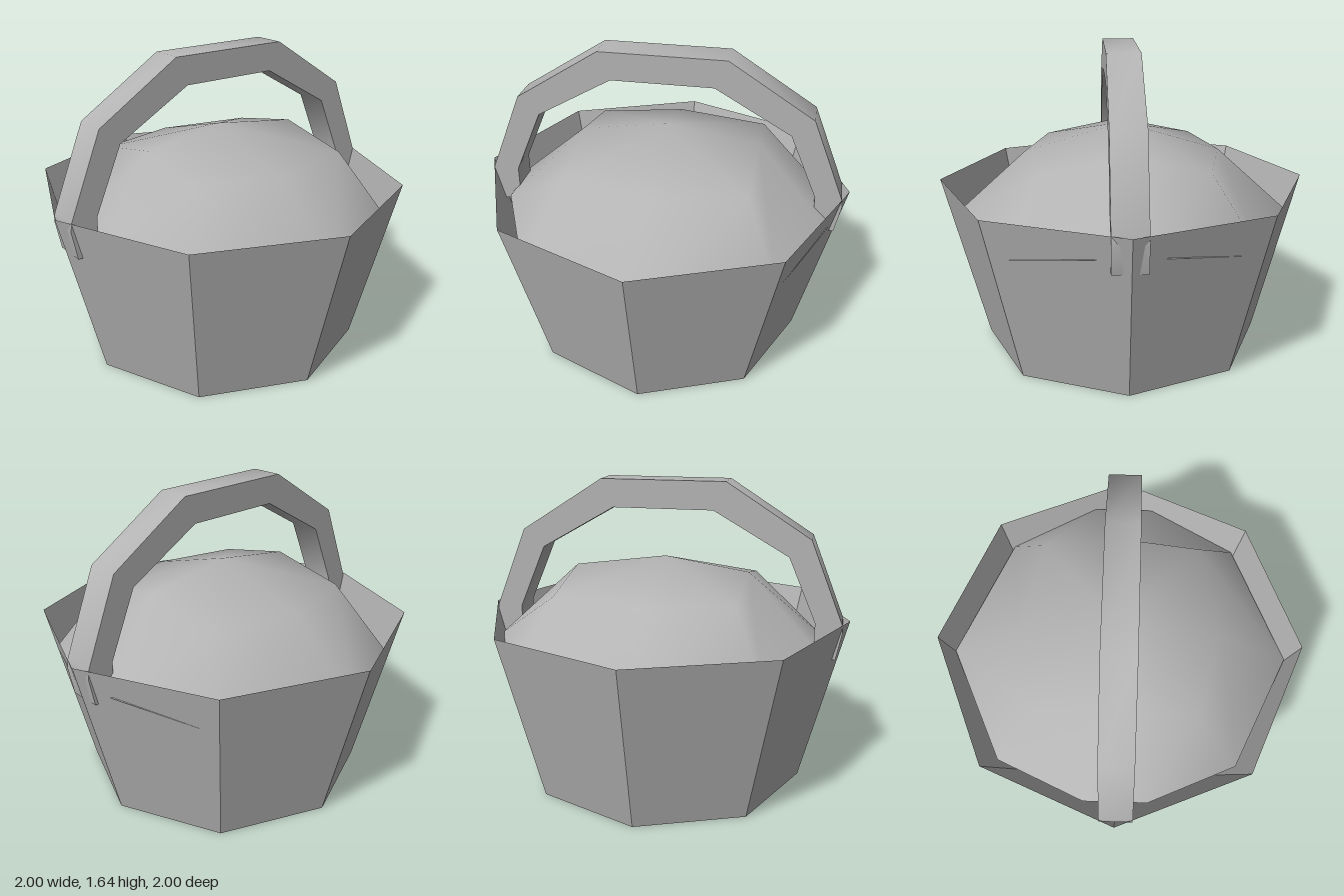
import * as THREE from 'three';
import { mergeVertices, toCreasedNormals } from 'three/addons/utils/BufferGeometryUtils.js';

const basketGrey = new THREE.MeshStandardMaterial({ color: 0xb4b4b4, flatShading: true, side: THREE.DoubleSide });
basketGrey.name = 'basket grey';
const smoothGrey = new THREE.MeshStandardMaterial({ color: 0xb4b4b4, side: THREE.DoubleSide });
smoothGrey.name = 'smooth grey';

function addPart(group, name, geometry, material) {
  const mesh = new THREE.Mesh(geometry, material);
  mesh.name = name;
  group.add(mesh);
}

// Mirrors a quarter outline (front to left side) into a full ring of ten points
function fullRing([front, corner, side]) {
  const back = ([x, y, z]) => [x, y, -z - 0.05];
  const flip = ([x, y, z]) => [-x, y, z];
  const left = [front, corner, side, back(corner), back(front)];
  return [...left, ...left.map(flip).reverse()];
}

// Domed filling: rim, shoulder and apex joined with smooth normals
function domeGeometry() {
  const rim = fullRing([[0.17, 0.78, 0.85], [0.65, 0.7, 0.625], [0.94, 0.7, 0]]);
  const shoulder = fullRing([[0, 1.155, 0.455], [0.42, 1.07, 0.45], [0.53, 1.07, 0]]);
  const apex = [0, 1.225, 0];
  const points = [];
  for (let i = 0; i < 10; i++) {
    const j = (i + 1) % 10;
    points.push(rim[i], rim[j], shoulder[j]);
    if (i !== 4 && i !== 9) { // the shoulder meets in one point at front and back
      points.push(rim[i], shoulder[j], shoulder[i], shoulder[i], shoulder[j], apex);
    }
  }
  const soup = new THREE.BufferGeometry();
  soup.setAttribute('position', new THREE.Float32BufferAttribute(points.flat(), 3));
  const geometry = mergeVertices(soup);
  geometry.computeVertexNormals();
  return geometry;
}

// Faceted arch drawn in profile and extruded across the basket
function handleGeometry() {
  const outer = [[0.935, 0.72], [0.965, 0.87], [0.96, 0.915], [0.783, 1.355], [0.335, 1.64]];
  const inner = [[0.27, 1.49], [0.672, 1.26], [0.82, 0.915], [0.82, 0.72]];
  const mirror = (pts) => pts.map(([z, y]) => [-z, y]).reverse();
  const outline = [...outer, ...mirror(outer), ...mirror(inner), ...inner];
  const shape = new THREE.Shape(outline.map(([z, y]) => new THREE.Vector2(z, y)));
  const geometry = new THREE.ExtrudeGeometry(shape, { depth: 0.175, bevelEnabled: false });
  geometry.rotateY(-Math.PI / 2).translate(0.095, 0, 0);
  return toCreasedNormals(geometry, Math.PI / 4);
}

export function createModel() {
  const group = new THREE.Group();
  group.name = 'basket';

  // Open, tapered eight-sided wall
  const wall = new THREE.CylinderGeometry(1, 0.765, 0.915, 8, 1, true).translate(0, 0.4575, 0);
  addPart(group, 'basketWall', wall, basketGrey);
  addPart(group, 'domedFilling', domeGeometry(), smoothGrey);
  addPart(group, 'handle', handleGeometry(), smoothGrey);
  return group;
}
